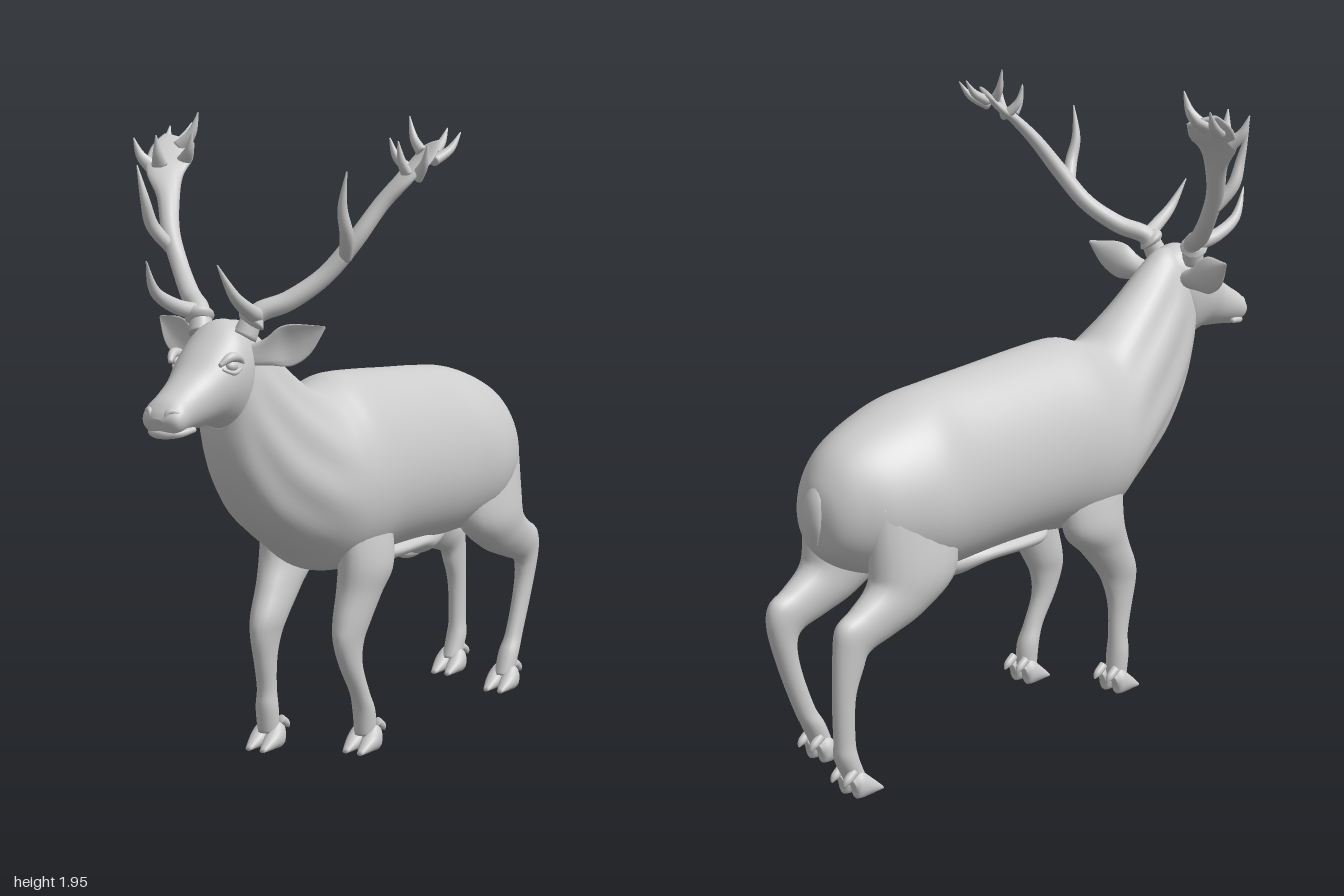
import * as THREE from 'three';

const V = (x, y, z) => new THREE.Vector3(x, y, z);
const material = new THREE.MeshStandardMaterial({ color: 0xcccccc, side: THREE.DoubleSide });

// Catmull-Rom interpolation of every column of a table of rows, t in 0..1
function spline(rows, t) {
  const f = t * (rows.length - 1);
  const i = Math.min(Math.floor(f), rows.length - 2);
  const u = f - i;
  const row = (k) => rows[Math.max(0, Math.min(rows.length - 1, k))];
  return rows[0].map((_, c) => {
    const [a, b, d, e] = [i - 1, i, i + 1, i + 2].map((k) => row(k)[c] ?? 0);
    return b + 0.5 * u * (d - a + u * (2 * a - 5 * b + 4 * d - e + u * (3 * (b - d) + e - a)));
  });
}

// Smooth closed skin over a list of rings of points
function skin(name, rings) {
  const n = rings[0].length, pos = [], idx = [];
  rings.forEach((ring) => ring.forEach((p) => pos.push(p.x, p.y, p.z)));
  for (let i = 0; i < rings.length - 1; i++) {
    for (let j = 0; j < n; j++) {
      const a = i * n + j, b = i * n + (j + 1) % n;
      idx.push(a, b, a + n, b, b + n, a + n);
    }
  }
  const last = rings.length - 1;
  [0, last].forEach((r, k) => {
    const c = rings[r].reduce((s, p) => s.add(p), V(0, 0, 0)).divideScalar(n);
    pos.push(c.x, c.y, c.z);
    for (let j = 0; j < n; j++) {
      const a = r * n + j, b = r * n + (j + 1) % n, m = rings.length * n + k;
      if (k) idx.push(m, a, b); else idx.push(m, b, a);
    }
  });
  const g = new THREE.BufferGeometry();
  g.setAttribute('position', new THREE.Float32BufferAttribute(pos, 3));
  g.setIndex(idx);
  g.computeVertexNormals();
  const mesh = new THREE.Mesh(g, material);
  mesh.name = name;
  return mesh;
}

// Loft of upright sections; row = [z1, y1, z2, y2, halfWidth, x, fold]
function loft(name, rows, { sides = 32, steps = 6, pear = 0 } = {}) {
  const rings = [], count = (rows.length - 1) * steps;
  for (let i = 0; i <= count; i++) {
    const [z1, y1, z2, y2, w, x = 0, fold = 0] = spline(rows, i / count);
    rings.push(Array.from({ length: sides }, (_, j) => {
      const a = j / sides * Math.PI * 2, c = Math.cos(a), s = Math.sin(a);
      const k = 1 + fold * Math.cos(a * 10) * s * s;
      return V(x - w * s * (1 - pear * c) * k,
        (y1 + y2) / 2 + (y1 - y2) / 2 * c * k, (z1 + z2) / 2 + (z1 - z2) / 2 * c * k);
    }));
  }
  return skin(name, rings);
}

// Tapered tube; row = [x, y, z, thickness, width]; the width lies along "wide"
function taper(name, rows, side = 1, wide = V(0.8, 0, 0.6), cup = 0) {
  const rings = [], count = (rows.length - 1) * 6, sides = 14;
  const at = (t) => { const p = spline(rows, t); return V(p[0] * side, p[1], p[2]); };
  for (let i = 0; i <= count; i++) {
    const t = i / count, p = spline(rows, t), r = Math.max(p[3], 0.001), w = Math.max(p[4] ?? r, 0.001);
    const dir = at(Math.min(1, t + 0.01)).sub(at(Math.max(0, t - 0.01))).normalize();
    const s = V(wide.x * side, wide.y, wide.z);
    s.addScaledVector(dir, -s.dot(dir)).normalize();
    const n = dir.clone().cross(s);
    rings.push(Array.from({ length: sides }, (_, j) => {
      const a = j / sides * Math.PI * 2, c = Math.cos(a);
      return at(t).addScaledVector(s, w * c).addScaledVector(n, r * Math.sin(a) + cup * side * w * c * c);
    }));
  }
  return skin(name, rings);
}

function ball(name, x, y, z, sx, sy, sz) {
  const m = new THREE.Mesh(new THREE.SphereGeometry(1, 20, 14), material);
  m.name = name;
  m.position.set(x, y, z);
  m.scale.set(sx, sy, sz);
  return m;
}

// Leg rows end with a factor that tells how far the stride moves that section
function leg(name, rows, side, stride, footZ) {
  const g = new THREE.Group();
  g.name = name;
  g.add(loft('limb', rows.map(([z1, y1, z2, y2, w, x, k]) =>
    [z1 + stride * k, y1, z2 + stride * k, y2, w, x * side]), { sides: 20 }));
  for (const s of [-1, 1]) {
    const x = 0.135 * side + s * 0.026, z = footZ + stride;
    g.add(loft('hoof', [
      [z - 0.045, 0.06, z - 0.03, 0.02, 0.012, x], [z - 0.01, 0.08, z - 0.025, 0, 0.025, x],
      [z + 0.03, 0.052, z + 0.02, 0, 0.026, x], [z + 0.075, 0.012, z + 0.075, 0, 0.01, x],
    ], { sides: 14 }));
    g.add(taper('dewclaw', [[x, 0.085, z - 0.03, 0.014], [x, 0.065, z - 0.06, 0.012], [x, 0.05, z - 0.073, 0.003]]));
  }
  return g;
}

function antler(side) {
  const g = new THREE.Group();
  g.name = side > 0 ? 'leftAntler' : 'rightAntler';
  g.add(taper('beam', [
    [0.075, 1.33, 0.67, 0.036, 0.036], [0.1, 1.395, 0.64, 0.03, 0.03], [0.17, 1.43, 0.585, 0.029, 0.029],
    [0.25, 1.5, 0.52, 0.027, 0.027], [0.32, 1.6, 0.47, 0.026, 0.028], [0.37, 1.7, 0.41, 0.022, 0.035],
    [0.415, 1.77, 0.36, 0.017, 0.058], [0.435, 1.82, 0.3, 0.013, 0.068], [0.44, 1.865, 0.25, 0.008, 0.05],
  ], side));
  g.add(taper('burr', [[0.083, 1.365, 0.662, 0.03], [0.09, 1.378, 0.655, 0.044], [0.098, 1.39, 0.645, 0.03]], side));
  g.add(taper('browTine', [[0.1, 1.39, 0.645, 0.024], [0.125, 1.41, 0.72, 0.022],
    [0.135, 1.46, 0.81, 0.016], [0.12, 1.55, 0.87, 0.002]], side));
  g.add(taper('middleTine', [[0.3, 1.55, 0.49, 0.02], [0.335, 1.62, 0.54, 0.02],
    [0.34, 1.7, 0.57, 0.014], [0.36, 1.8, 0.58, 0.002]], side));
  // Points round the rim of the palm: root, then tip
  const points = [
    [0.46, 1.78, 0.36, 0.51, 1.87, 0.39], [0.47, 1.82, 0.29, 0.51, 1.9, 0.2],
    [0.45, 1.84, 0.26, 0.45, 1.91, 0.17], [0.425, 1.84, 0.27, 0.37, 1.945, 0.25],
    [0.39, 1.8, 0.3, 0.345, 1.885, 0.32], [0.43, 1.79, 0.37, 0.42, 1.88, 0.4],
  ];
  for (const [x, y, z, tx, ty, tz] of points) {
    g.add(taper('palmPoint', [[x, y, z, 0.016, 0.024],
      [x * 0.35 + tx * 0.65, y * 0.6 + ty * 0.4, z * 0.4 + tz * 0.6, 0.012, 0.015], [tx, ty, tz, 0.002, 0.002]], side));
  }
  return g;
}

export function createModel() {
  const model = new THREE.Group();
  model.name = 'stag';

  // Rump, barrel, chest and folded neck
  model.add(loft('body', [
    [-0.945, 0.85, -0.94, 0.77, 0.02], [-0.925, 0.92, -0.915, 0.7, 0.085], [-0.87, 0.995, -0.86, 0.65, 0.14],
    [-0.77, 1.05, -0.77, 0.61, 0.195], [-0.6, 1.105, -0.62, 0.57, 0.235], [-0.45, 1.125, -0.47, 0.56, 0.212],
    [-0.25, 1.14, -0.25, 0.57, 0.215], [-0.05, 1.155, -0.05, 0.57, 0.222], [0.1, 1.16, 0.1, 0.555, 0.233],
    [0.18, 1.138, 0.22, 0.57, 0.222], [0.25, 1.13, 0.31, 0.62, 0.2, 0, 0.01], [0.33, 1.175, 0.42, 0.68, 0.17, 0, 0.03],
    [0.43, 1.245, 0.54, 0.76, 0.142, 0, 0.04], [0.53, 1.325, 0.64, 0.88, 0.118, 0, 0.035],
    [0.59, 1.365, 0.69, 0.99, 0.1, 0, 0.01], [0.64, 1.37, 0.705, 1.07, 0.085],
  ].map((r) => [...r, 0, 0].slice(0, 7)), { sides: 64, pear: 0.1 }));
  model.add(loft('belly', [
    [-0.62, 0.62, -0.62, 0.57, 0.03], [-0.52, 0.62, -0.5, 0.535, 0.07], [-0.42, 0.62, -0.41, 0.515, 0.09],
    [-0.3, 0.62, -0.3, 0.54, 0.12], [-0.1, 0.62, -0.1, 0.54, 0.12], [-0.03, 0.62, -0.03, 0.565, 0.08],
  ]));
  model.add(ball('sheath', 0, 0.53, -0.4, 0.028, 0.028, 0.08));
  model.add(taper('tail', [[0, 0.91, -0.9, 0.02, 0.025], [0, 0.86, -0.93, 0.022, 0.036],
    [0, 0.79, -0.938, 0.018, 0.032], [0, 0.725, -0.93, 0.004, 0.006]], 1, V(1, 0, 0)));

  // Head with face details
  const head = new THREE.Group();
  head.name = 'head';
  head.add(loft('skull', [
    [0.57, 1.33, 0.63, 1.1, 0.06], [0.63, 1.37, 0.67, 1.06, 0.095], [0.7, 1.372, 0.715, 1.07, 0.108],
    [0.78, 1.312, 0.765, 1.085, 0.102], [0.85, 1.25, 0.84, 1.08, 0.08], [0.92, 1.205, 0.91, 1.073, 0.068],
    [0.965, 1.178, 0.95, 1.068, 0.068], [0.99, 1.15, 0.975, 1.08, 0.055], [1, 1.128, 0.99, 1.105, 0.02],
  ], { sides: 36, pear: -0.05 }));
  head.add(taper('lowerLip', [[-0.06, 1.092, 0.9, 0.008], [-0.045, 1.086, 0.955, 0.012],
    [0, 1.084, 0.975, 0.014], [0.045, 1.086, 0.955, 0.012], [0.06, 1.092, 0.9, 0.008]]));
  for (const s of [-1, 1]) {
    head.add(ball('eye', 0.092 * s, 1.257, 0.76, 0.016, 0.016, 0.022));
    head.add(taper('brow', [[0.085, 1.262, 0.81, 0.006], [0.098, 1.283, 0.775, 0.014],
      [0.1, 1.277, 0.735, 0.012], [0.098, 1.255, 0.71, 0.005]], s));
    head.add(taper('lowerLid', [[0.085, 1.25, 0.795, 0.004], [0.1, 1.238, 0.76, 0.008], [0.102, 1.25, 0.725, 0.004]], s));
    head.add(taper('nostrilRim', [[0.022, 1.125, 0.99, 0.006], [0.032, 1.148, 0.982, 0.009],
      [0.05, 1.145, 0.967, 0.009], [0.054, 1.125, 0.968, 0.005]], s));
    head.add(taper(s > 0 ? 'leftEar' : 'rightEar', [[0.075, 1.275, 0.63, 0.025, 0.03], [0.12, 1.285, 0.61, 0.02, 0.04],
      [0.17, 1.302, 0.59, 0.012, 0.058], [0.225, 1.325, 0.58, 0.008, 0.048], [0.285, 1.36, 0.575, 0.002, 0.004]],
    s, V(0, 1, 0), 0.45));
    head.add(antler(s));
  }
  model.add(head);

  // Legs in mid stride
  const front = [
    [0.24, 0.74, -0.01, 0.74, 0.045, 0.145, 0], [0.235, 0.6, -0.01, 0.58, 0.068, 0.143, 0],
    [0.235, 0.51, 0.05, 0.49, 0.06, 0.135, 0.25], [0.255, 0.42, 0.1, 0.41, 0.05, 0.13, 0.45],
    [0.26, 0.36, 0.13, 0.35, 0.039, 0.13, 0.47], [0.23, 0.28, 0.138, 0.28, 0.032, 0.132, 0.55],
    [0.175, 0.19, 0.105, 0.19, 0.029, 0.135, 0.8], [0.15, 0.13, 0.075, 0.12, 0.035, 0.135, 1],
    [0.14, 0.05, 0.07, 0.04, 0.033, 0.135, 1],
  ];
  const hind = [
    [-0.5, 0.78, -0.85, 0.85, 0.07, 0.13, 0], [-0.52, 0.6, -0.84, 0.67, 0.085, 0.14, 0],
    [-0.66, 0.5, -0.85, 0.61, 0.073, 0.142, 0], [-0.78, 0.455, -0.92, 0.56, 0.055, 0.142, 0],
    [-0.87, 0.425, -0.98, 0.525, 0.043, 0.142, 0], [-0.89, 0.38, -0.99, 0.45, 0.036, 0.142, 0.05],
    [-0.875, 0.3, -0.95, 0.31, 0.03, 0.14, 0.42], [-0.83, 0.18, -0.9, 0.18, 0.028, 0.137, 0.8],
    [-0.795, 0.12, -0.87, 0.12, 0.034, 0.135, 1], [-0.765, 0.05, -0.83, 0.04, 0.032, 0.135, 1],
  ];
  model.add(leg('leftFrontLeg', front, 1, 0, 0.105), leg('rightFrontLeg', front, -1, 0.13, 0.105));
  model.add(leg('leftHindLeg', hind, 1, 0, -0.795), leg('rightHindLeg', hind, -1, -0.12, -0.795));
  return model;
}
